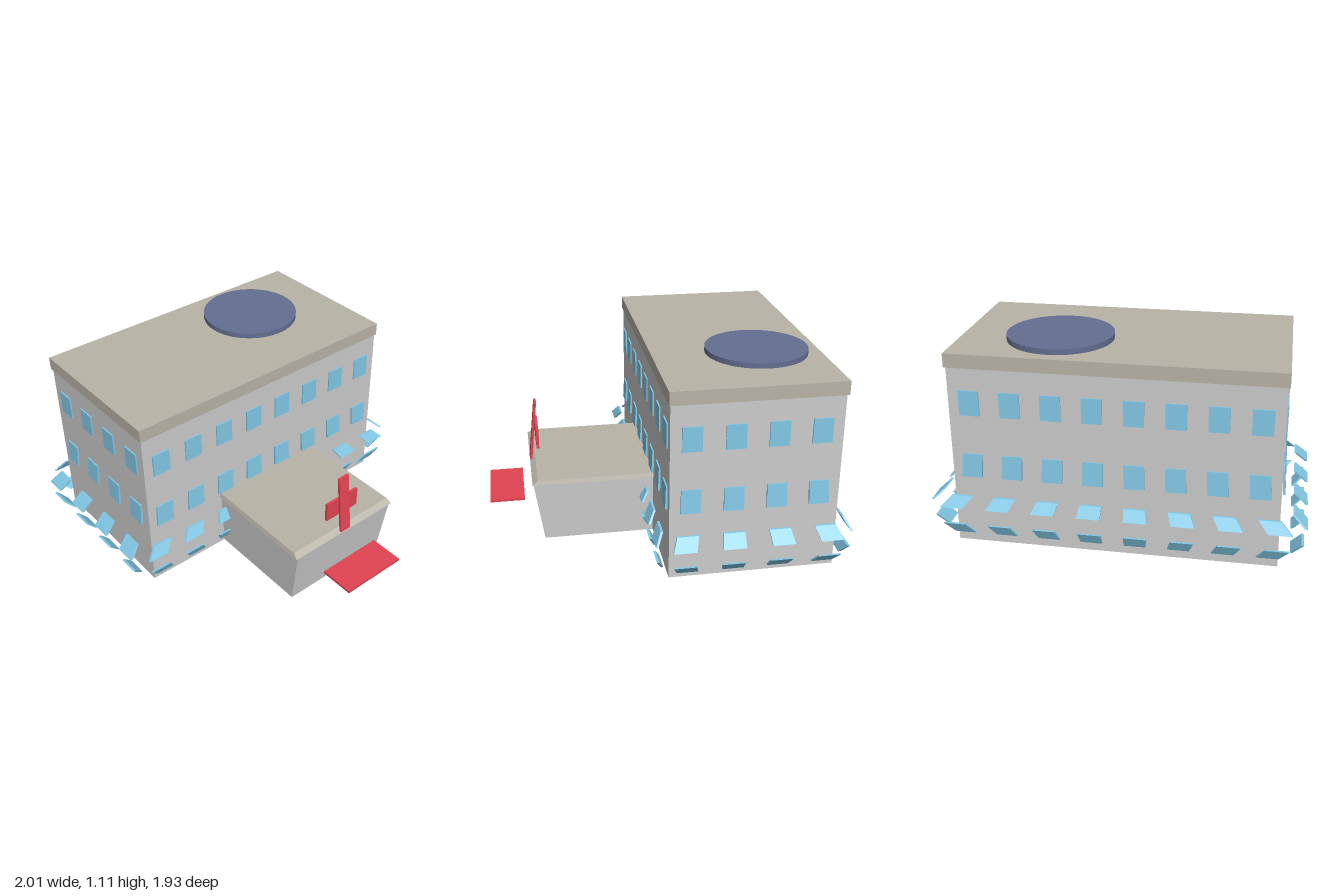
import * as THREE from 'three';

const mat = (color) => new THREE.MeshStandardMaterial({ color, flatShading: true });
const wall = mat(0xcccccc), trim = mat(0xb9b3a7), glass = mat(0x82c8e6);
const red = mat(0xe24452), blue = mat(0x636f92);

const CZ = -0.427; // depth of the main block's centre
const HALF_X = 0.86, HALF_Z = 0.458;

// Box between two heights with separate bottom and top rectangles [x0, x1, z0, z1]
function taperedBox(name, material, y0, y1, bottom, top = bottom) {
  const geo = new THREE.BoxGeometry(1, 1, 1);
  const p = geo.attributes.position;
  for (let i = 0; i < p.count; i++) {
    const up = p.getY(i) > 0;
    const r = up ? top : bottom;
    p.setXYZ(i, p.getX(i) < 0 ? r[0] : r[1], up ? y1 : y0, p.getZ(i) < 0 ? r[2] : r[3]);
  }
  geo.computeVertexNormals();
  const mesh = new THREE.Mesh(geo, material);
  mesh.name = name;
  return mesh;
}

// Window panel: a thin box on the wall, spread outwards from the block's centre
function windowPanel(side, along, row) {
  const thick = 0.008, halfW = 0.0535;
  const alongX = side === 'front' || side === 'back';
  const sign = side === 'front' || side === 'right' ? 1 : -1;
  const out = alongX ? HALF_Z : HALF_X;
  const a = sign * (out - thick / 2), b = sign * (out + thick);
  const [n0, n1] = [Math.min(a, b), Math.max(a, b)];
  const rect = (s) => {
    const w = [along - halfW, along + halfW], n = [n0, n1];
    const [x, z] = alongX ? [w, n] : [n, w];
    return [x[0] * s, x[1] * s, CZ + z[0] * s, CZ + z[1] * s];
  };
  return taperedBox('window', glass, row.y0, row.y1, rect(row.s0), rect(row.s1));
}

export function createModel() {
  const model = new THREE.Group();
  model.name = 'building';

  // Main block and roof slab
  model.add(taperedBox('mainBlock', wall, 0, 1.0, [-HALF_X, HALF_X, CZ - HALF_Z, CZ + HALF_Z]));
  model.add(taperedBox('roofSlab', trim, 1.0, 1.075, [-0.868, 0.868, -0.896, 0.038]));

  // Round landing pad
  const pad = new THREE.Mesh(new THREE.CylinderGeometry(0.285, 0.285, 0.03, 64), blue);
  pad.name = 'landingPad';
  pad.position.set(0.34, 1.09, -0.545);
  model.add(pad);

  // Entrance wing with leaning front and bevelled roof
  model.add(taperedBox('entranceWing', wall, 0, 0.355,
    [-0.343, 0.343, 0, 0.66], [-0.355, 0.355, 0, 0.713]));
  model.add(taperedBox('entranceRoof', trim, 0.355, 0.38,
    [-0.368, 0.368, 0, 0.718], [-0.36, 0.36, 0, 0.687]));

  // Cross on the entrance roof: leaning upright and vertical crossbar
  const cross = new THREE.Group();
  cross.name = 'cross';
  cross.add(taperedBox('crossUpright', red, 0.362, 0.72,
    [-0.035, 0.035, 0.704, 0.718], [-0.035, 0.035, 0.665, 0.679]));
  cross.add(taperedBox('crossBar', red, 0.465, 0.58, [-0.114, 0.114, 0.662, 0.678]));
  model.add(cross);

  // Awning panel before the entrance
  model.add(taperedBox('awning', red, 0.18, 0.195, [-0.198, 0.198, 0.763, 0.963]));

  // Window rows: the upper two sit on the wall, the lower two flare out
  const rows = [
    { y0: 0.74, y1: 0.878, s0: 1, s1: 1 },
    { y0: 0.39, y1: 0.522, s0: 1.012, s1: 1 },
    { y0: 0.23, y1: 0.29, s0: 1.155, s1: 1.08 },
    { y0: 0.07, y1: 0.132, s0: 1.075, s1: 1.14 },
  ];
  const windows = new THREE.Group();
  windows.name = 'windows';
  rows.forEach((row, r) => {
    for (let i = 0; i < 8; i++) {
      const x = (i - 3.5) * 0.214;
      windows.add(windowPanel('back', x, row));
      // The lower middle windows would fall inside the entrance wing
      if (r < 2 || Math.abs(x) > 0.2) windows.add(windowPanel('front', x, row));
    }
    for (let i = 0; i < 4; i++) {
      const z = (i - 1.5) * 0.229;
      windows.add(windowPanel('left', z, row), windowPanel('right', z, row));
    }
  });
  model.add(windows);
  return model;
}
